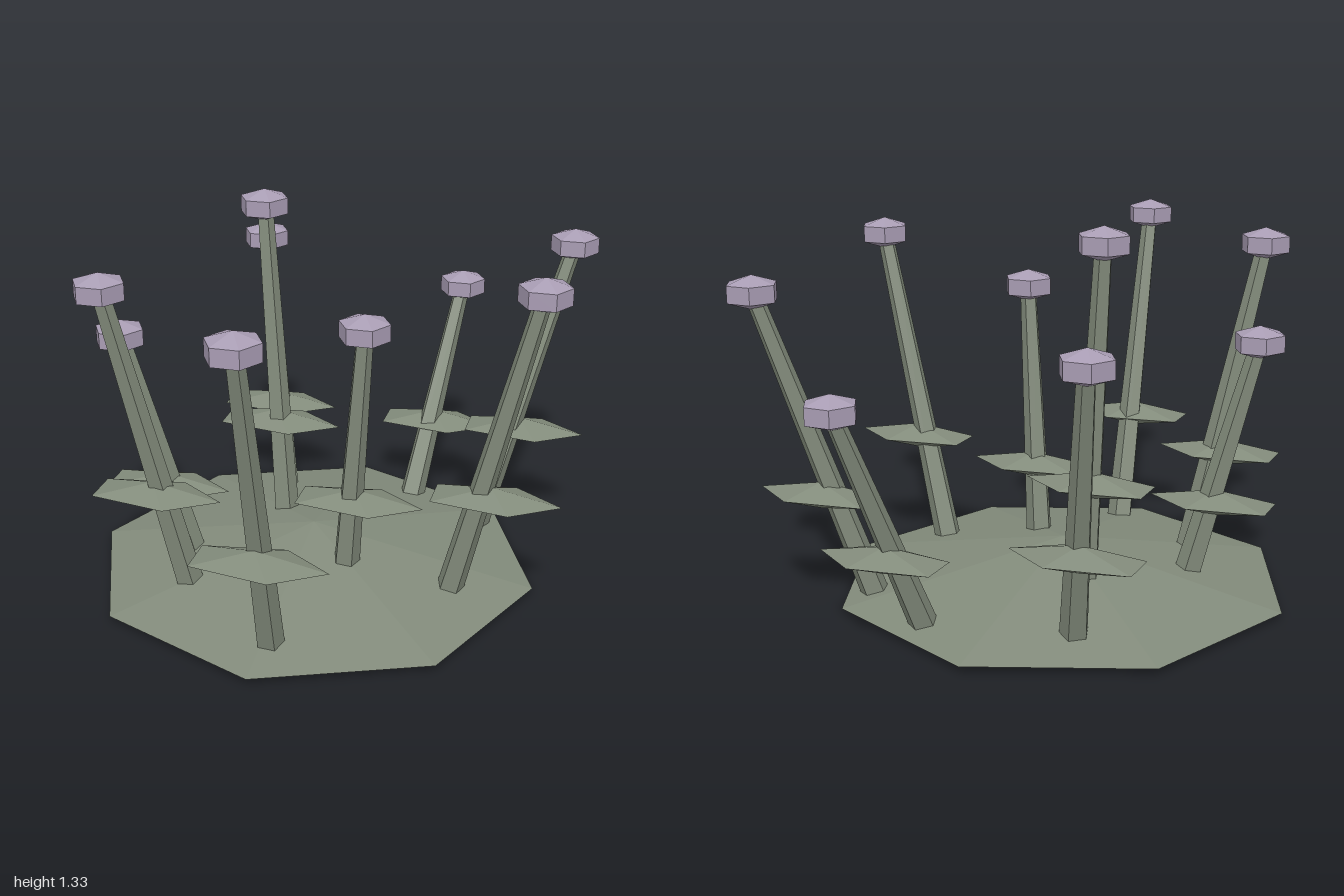
import * as THREE from 'three';

const flat = (name, color) => {
  const m = new THREE.MeshStandardMaterial({ color, flatShading: true });
  m.name = name;
  return m;
};

// Each stalk: base [x, z], leaf centre [x, y, z], head centre [x, y, z]
const stalks = [
  [[-0.30, -0.51], [-0.37, 0.36, -0.635], [-0.45, 1.00, -0.775]],
  [[0.19, -0.60], [0.245, 0.30, -0.75], [0.31, 0.82, -0.925]],
  [[0.475, -0.43], [0.61, 0.40, -0.54], [0.76, 1.10, -0.66]],
  [[-0.20, -0.195], [-0.25, 0.46, -0.24], [-0.30, 1.27, -0.285]],
  [[-0.46, 0.10], [-0.56, 0.33, 0.12], [-0.685, 0.90, 0.16]],
  [[0.105, 0.125], [0.145, 0.37, 0.15], [0.19, 1.02, 0.21]],
  [[0.47, 0.10], [0.61, 0.43, 0.13], [0.755, 1.18, 0.17]],
  [[-0.395, 0.31], [-0.495, 0.43, 0.39], [-0.60, 1.18, 0.49]],
  [[-0.025, 0.585], [-0.02, 0.43, 0.75], [-0.01, 1.20, 0.92]],
];

export function createModel() {
  const green = flat('sage green', 0x828b7b);
  const lilac = flat('pale lilac', 0xa99db4);
  const model = new THREE.Group();

  const add = (parent, name, geometry, material, position) => {
    const mesh = new THREE.Mesh(geometry, material);
    mesh.name = name;
    mesh.position.set(...position);
    parent.add(mesh);
    return mesh;
  };

  // Low eight-sided mound
  add(model, 'mound', new THREE.ConeGeometry(0.8, 0.155, 8), green, [-0.047, 0.1, -0.02]);

  // Five-cornered double pyramid leaf, pointing to +x
  const leafGeometry = new THREE.SphereGeometry(1, 5, 2).rotateY(Math.PI).scale(0.24, 0.046, 0.117);
  // Six-sided bud with a flat band
  const headGeometry = new THREE.SphereGeometry(0.1, 6, 3).scale(1, 0.57, 1);
  const up = new THREE.Vector3(0, 1, 0);

  stalks.forEach(([[bx, bz], leaf, head], i) => {
    const stalk = new THREE.Group();
    stalk.name = `stalk${i + 1}`;
    model.add(stalk);

    // Tapered, leaning stem from the mound to the head
    const base = new THREE.Vector3(bx, 0.018, bz);
    const tip = new THREE.Vector3(...head);
    const along = tip.clone().sub(base);
    const stemGeometry = new THREE.CylinderGeometry(0.03, 0.05, along.length(), 5).rotateY(Math.PI);
    const middle = base.clone().add(tip).multiplyScalar(0.5);
    const stem = add(stalk, 'stem', stemGeometry, green, middle.toArray());
    stem.quaternion.setFromUnitVectors(up, along.normalize());

    add(stalk, 'leaf', leafGeometry, green, leaf);
    add(stalk, 'head', headGeometry, lilac, head);
  });

  return model;
}
